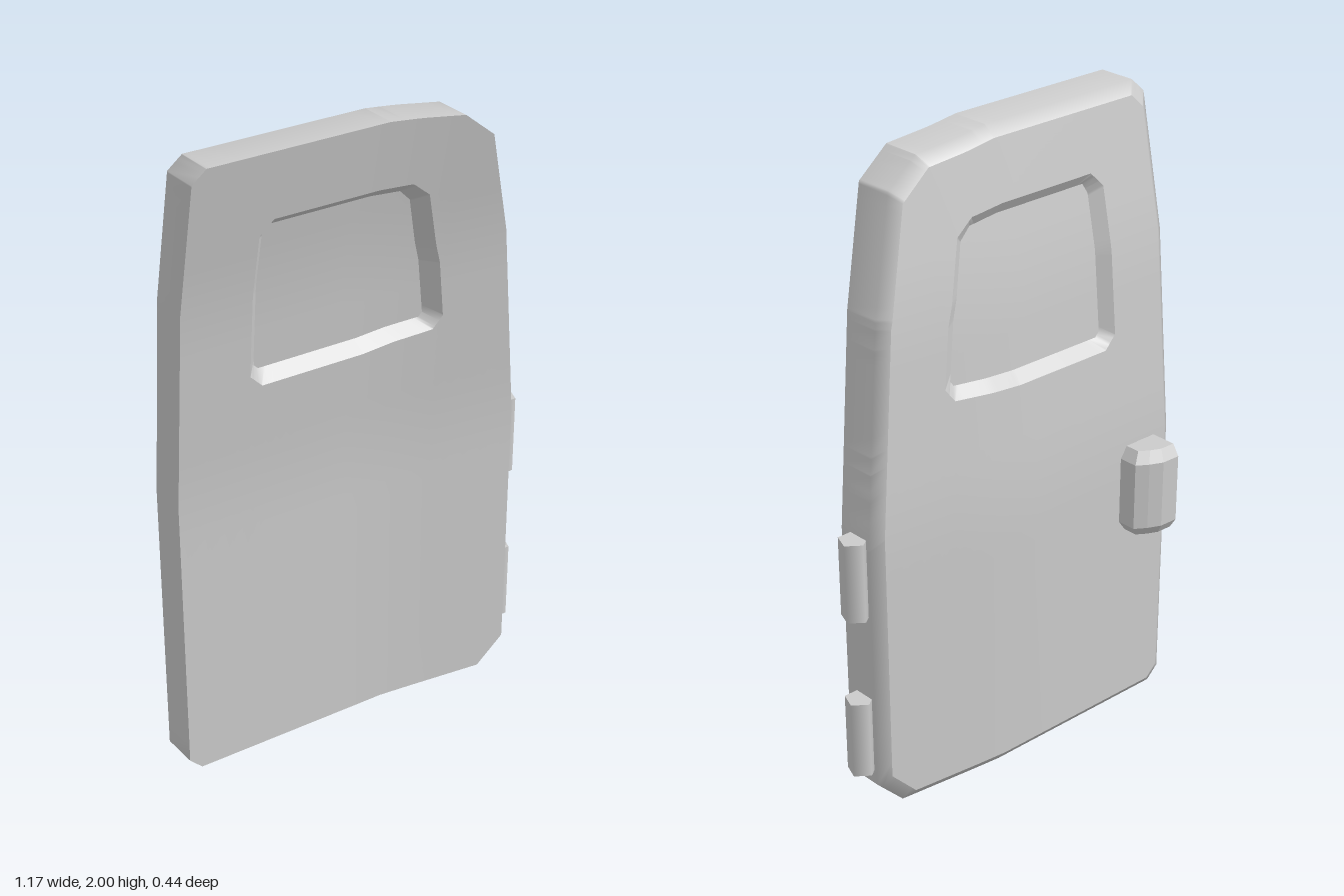
import * as THREE from 'three';

// Straight-line interpolation through [position, value] knots
function lerpKnots(knots, v) {
  for (let i = 1; i < knots.length; i++) {
    const [a, fa] = knots[i - 1], [b, fb] = knots[i];
    if (v <= b || i === knots.length - 1) return fa + (fb - fa) * (v - a) / (b - a);
  }
}

// The panel sweeps across x and leans forward above the waistline
const sweep = [[-0.59, -0.122], [0, -0.09], [0.1, -0.085], [0.52, -0.015]];
const lean = [[0, 0], [0.93, 0], [1.56, 0.055], [2, 0.145]];
const bend = (x, y) => lerpKnots(sweep, x) + (y <= 0.93 ? 0 : lerpKnots(lean, y));
const THICK = 0.14;

// Door and window outlines
const outline = [[-0.59, 0.93], [-0.59, 1.56], [-0.59, 1.96], [-0.55, 2], [0, 2], [0.235, 1.97],
  [0.335, 1.89], [0.435, 1.56], [0.52, 0.93], [0.52, 0.09], [0.435, 0], [-0.55, 0], [-0.59, 0.04]];
const inset = outline.map(([x, y]) => [(x + 0.035) * 0.94 - 0.035, 1 + (y - 1) * 0.967]);
const windowOuter = [[-0.37, 1.745], [-0.33, 1.79], [0, 1.79], [0.11, 1.78], [0.165, 1.735],
  [0.23, 1.5], [0.255, 1.32], [0.225, 1.28], [0, 1.26], [-0.33, 1.26], [-0.37, 1.3]];
const windowInner = [[-0.335, 1.725], [-0.32, 1.755], [0, 1.755], [0.1, 1.745], [0.135, 1.71],
  [0.19, 1.5], [0.215, 1.325], [0.205, 1.31], [0, 1.295], [-0.32, 1.295], [-0.335, 1.31]];

// Rays from the window centre, through every corner and evenly in between
const C = [-0.06, 1.52];
const angles = [outline, inset, windowOuter, windowInner].flat()
  .map(([x, y]) => Math.atan2(y - C[1], x - C[0]));
for (let i = 0; i < 96; i++) angles.push(-Math.PI + (i + 0.5) * Math.PI / 48);
angles.sort((a, b) => a - b);
const rays = angles.filter((a, i) => i === 0 || a - angles[i - 1] > 1e-4);

// Points where the rays meet a convex outline
function ring(poly) {
  return rays.map((a) => {
    const dx = Math.cos(a), dy = Math.sin(a);
    let t = Infinity;
    poly.forEach(([px, py], i) => {
      const [qx, qy] = poly[(i + 1) % poly.length];
      const ex = qx - px, ey = qy - py;
      const s = ((px - C[0]) * ey - (py - C[1]) * ex) / (dx * ey - dy * ex);
      if (s > 0 && s < t) t = s;
    });
    return [C[0] + dx * t, C[1] + dy * t];
  });
}

// Joins closed rings of [x, y, z] points into a surface
function loft(rings) {
  const n = rings[0].length, index = [];
  for (let r = 0; r < rings.length - 1; r++) {
    for (let i = 0; i < n; i++) {
      const j = (i + 1) % n, a = r * n, b = a + n;
      index.push(a + i, b + i, b + j, a + i, b + j, a + j);
    }
  }
  const geo = new THREE.BufferGeometry();
  geo.setAttribute('position', new THREE.Float32BufferAttribute(rings.flat(2), 3));
  geo.setIndex(index);
  geo.computeVertexNormals();
  return geo;
}

// Bent surface running from one outline to another, each at its own depth
function band(from, to, d0, d1, steps) {
  const rings = [];
  for (let k = 0; k <= steps; k++) {
    const t = k / steps, d = d0 + (d1 - d0) * t;
    rings.push(from.map(([x0, y0], i) => {
      const x = x0 + (to[i][0] - x0) * t, y = y0 + (to[i][1] - y0) * t;
      return [x, y, bend(x, y) + d];
    }));
  }
  return rings;
}

// Gives a broad face softly blended normals that follow the bend
function soften(geo, side) {
  const p = geo.attributes.position, h = 0.15, n = new THREE.Vector3();
  for (let i = 0; i < p.count; i++) {
    const x = p.getX(i), y = p.getY(i);
    const x0 = Math.max(x - h, -0.59), x1 = Math.min(x + h, 0.52);
    const y0 = Math.max(y - h, 0), y1 = Math.min(y + h, 2);
    n.set(-(bend(x1, y) - bend(x0, y)) / (x1 - x0), -(bend(x, y1) - bend(x, y0)) / (y1 - y0), 1);
    n.normalize().multiplyScalar(side);
    geo.attributes.normal.setXYZ(i, n.x, n.y, n.z);
  }
  return geo;
}

export function createModel() {
  const group = new THREE.Group();
  const mat = new THREE.MeshStandardMaterial({ color: 0xcccccc });
  const add = (name, geo, material = mat) => {
    const mesh = new THREE.Mesh(geo, material);
    mesh.name = name;
    group.add(mesh);
    return mesh;
  };

  const edge = ring(outline), back = ring(inset);
  const winOut = ring(windowOuter), winIn = ring(windowInner);
  const middle = winIn.map(([x, y]) => [C[0] + (x - C[0]) * 0.001, C[1] + (y - C[1]) * 0.001]);

  // Door panel: two faces and the rim with its bevelled back edge
  add('frontPanel', soften(loft(band(winOut, edge, THICK, THICK, 24)), 1));
  add('backPanel', soften(loft(band(back, winOut, 0, 0, 24)), -1));
  add('doorRim', loft([...band(edge, edge, THICK, 0.025, 1), ...band(edge, back, 0.025, 0, 1).slice(1)]));

  // Window: sloping reveals on both sides of a recessed pane
  add('frontWindowReveal', loft(band(winIn, winOut, 0.1, THICK, 1)));
  add('backWindowReveal', loft(band(winOut, winIn, 0, 0.03, 1)));
  add('frontPane', soften(loft(band(middle, winIn, 0.1, 0.1, 6)), 1));
  add('backPane', soften(loft(band(winIn, middle, 0.03, 0.03, 6)), -1));

  // Hinges: five-sided barrels on the hinge edge
  for (const [name, y] of [['lowerHinge', 0.265], ['upperHinge', 0.803]]) {
    const hinge = add(name, new THREE.CylinderGeometry(0.045, 0.045, 0.255, 5));
    hinge.position.set(0.54, y, 0.052);
    hinge.rotation.y = Math.PI / 2 - Math.PI * 2 / 5 * 2 + THREE.MathUtils.degToRad(159);
    hinge.rotation.y = Math.PI / 2 + THREE.MathUtils.degToRad(15) - Math.PI / 2 + Math.PI / 2 - Math.PI / 2 + Math.PI / 2;
  }

  // Handle: a flat-sided grip with a rounded outer face and tapered ends
  const grip = [[-0.51, -0.1], [-0.375, -0.1], [-0.375, -0.17], [-0.41, -0.195], [-0.45, -0.215], [-0.51, -0.22]];
  const section = (y, s) => grip.map(([x, z]) => [-0.51 + (x + 0.51) * s, y, -0.1 + (z + 0.1) * s]);
  const levels = [[0.64, 0.001], [0.64, 0.82], [0.675, 1], [0.895, 1], [0.93, 0.82], [0.93, 0.001]];
  const handleGeo = loft(levels.map(([y, s]) => section(y, s))).toNonIndexed();
  handleGeo.computeVertexNormals();
  const handleMat = mat.clone();
  handleMat.side = THREE.DoubleSide;
  add('handle', handleGeo, handleMat);

  return group;
}
